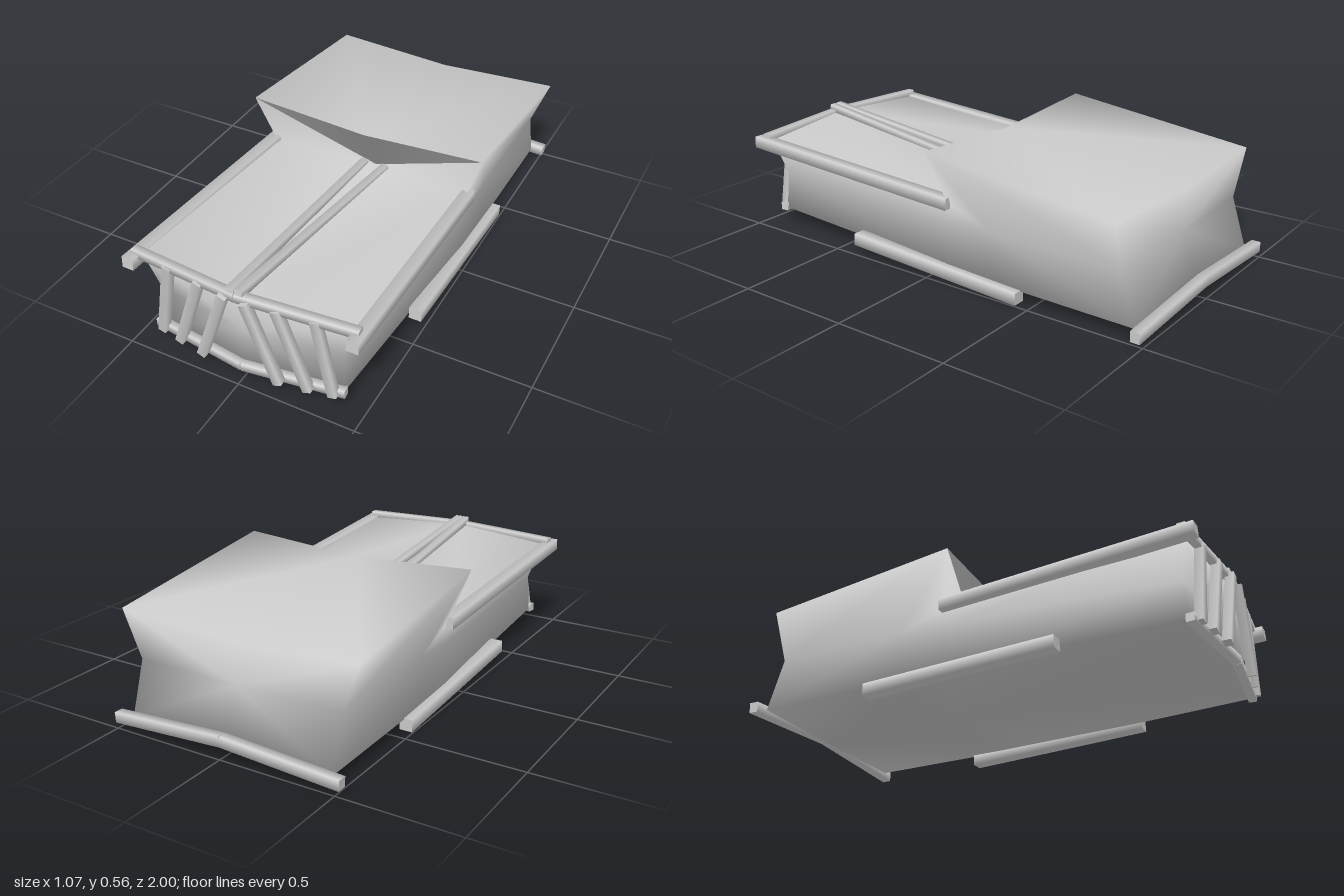
import * as THREE from 'three';
import { mergeVertices } from 'three/addons/utils/BufferGeometryUtils.js';

const material = new THREE.MeshStandardMaterial({ color: 0xcccccc });
const V = (p) => new THREE.Vector3(...p);

// Body half-sections from front to back: top centre, top edge, waist, bottom edge, bottom centre
const SECTIONS = [
  [[0, 0.43, 0.96], [0.46, 0.41, 0.91], [0.4, 0.24, 0.89], [0.41, 0.075, 0.9], [0, 0.06, 0.95]],
  [[0, 0.3, -0.16], [0.46, 0.34, -0.08], [0.46, 0.25, -0.08], [0.46, 0.055, -0.08], [0, 0.045, -0.08]],
  [[0, 0.525, -0.04], [0.535, 0.558, -0.04], [0.46, 0.26, -0.3], [0.46, 0.05, -0.3], [0, 0.04, -0.3]],
  [[0, 0.43, -0.89], [0.535, 0.46, -0.89], [0.46, 0.26, -0.88], [0.46, 0.045, -0.95], [0, 0.04, -0.95]],
];
const FRONT_CENTRE = [0, 0.24, 0.94];
const REAR_CENTRE = [0, 0.26, -0.89];

// Smooth shell: loft one half, close both ends, then mirror it
function buildBody() {
  const triangles = [];
  for (let j = 0; j < 4; j++) {
    for (let i = 0; i < SECTIONS.length - 1; i++) {
      const a = SECTIONS[i][j], b = SECTIONS[i][j + 1];
      const c = SECTIONS[i + 1][j + 1], d = SECTIONS[i + 1][j];
      triangles.push([a, b, c], [a, c, d]);
    }
    const front = SECTIONS[0], rear = SECTIONS[SECTIONS.length - 1];
    triangles.push([FRONT_CENTRE, front[j + 1], front[j]], [REAR_CENTRE, rear[j], rear[j + 1]]);
  }
  const positions = [];
  for (const [a, b, c] of triangles) {
    positions.push(...a, ...b, ...c);
    for (const p of [a, c, b]) positions.push(p[0] === 0 ? 0 : -p[0], p[1], p[2]);
  }
  let geometry = new THREE.BufferGeometry();
  geometry.setAttribute('position', new THREE.Float32BufferAttribute(positions, 3));
  geometry = mergeVertices(geometry);
  geometry.computeVertexNormals();
  const mesh = new THREE.Mesh(geometry, material);
  mesh.name = 'body';
  return mesh;
}

// Square bar with softened shading, following a path of points
function bar(name, points, width, height = width) {
  const group = new THREE.Group();
  group.name = name;
  for (let i = 0; i < points.length - 1; i++) {
    const from = V(points[i]), to = V(points[i + 1]);
    const geometry = new THREE.CylinderGeometry(Math.SQRT1_2, Math.SQRT1_2, from.distanceTo(to), 4);
    geometry.rotateY(Math.PI / 4).rotateX(Math.PI / 2).scale(width, height, 1);
    const mesh = new THREE.Mesh(geometry, material);
    mesh.name = name + 'Segment';
    mesh.position.copy(from).add(to).multiplyScalar(0.5);
    mesh.lookAt(to);
    group.add(mesh);
  }
  return group;
}

export function createModel() {
  const model = new THREE.Group();
  model.name = 'vehicleBody';
  model.add(buildBody());

  // Crossbars at the front and back
  model.add(bar('grilleTopBar', [[-0.485, 0.42, 0.92], [0, 0.425, 0.965], [0.485, 0.42, 0.92]], 0.035));
  model.add(bar('grilleBottomBar', [[-0.42, 0.08, 0.91], [0, 0.072, 0.96], [0.42, 0.08, 0.91]], 0.035));
  model.add(bar('rearBumper', [[-0.515, 0.042, -0.975], [0, 0.075, -0.98], [0.515, 0.042, -0.975]], 0.04, 0.044));

  // Grille slats: x at the bottom, x at the top, depth
  const slats = [[0.38, 0.315, 0.935], [0.285, 0.165, 0.955], [0.17, 0.045, 0.975]];

  for (const [side, s] of [['left', 1], ['right', -1]]) {
    model.add(bar(side + 'UpperRail', [[s * 0.48, 0.397, 0.975], [s * 0.466, 0.337, -0.1]], 0.05));
    model.add(bar(side + 'LowerRail', [[s * 0.463, 0.066, 0.405], [s * 0.468, 0.028, -0.44]], 0.055, 0.052));
    model.add(bar(side + 'HoodBar', [[s * 0.018, 0.45, 0.975], [s * 0.05, 0.305, -0.16]], 0.032));
    slats.forEach(([low, high, z], i) => {
      model.add(bar(side + 'GrilleSlat' + (i + 1), [[s * low, 0.07, z], [s * high, 0.422, z + 0.005]], 0.036));
    });
  }
  return model;
}
